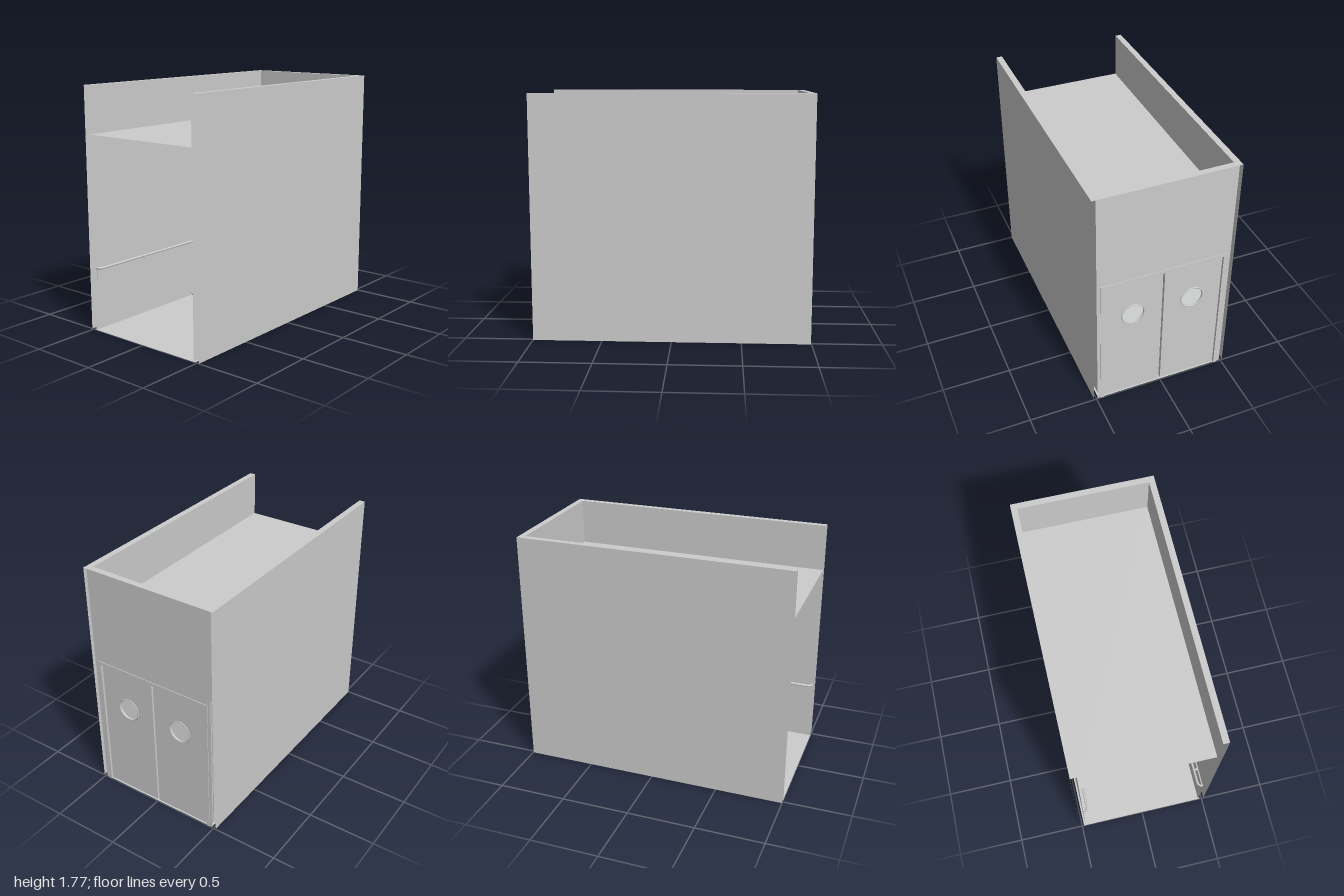
import * as THREE from 'three';

const H = 1.77, OUT = 0.517, INN = 0.472, BACK = -0.995, BACK_IN = -0.95, CEIL = 1.43;

export function createModel() {
  const model = new THREE.Group();
  model.name = 'corridor';
  const grey = new THREE.MeshStandardMaterial({ color: 0xcccccc, side: THREE.DoubleSide });
  grey.name = 'paintedGrey';
  const glass = new THREE.MeshStandardMaterial({ color: 0xe2e7e4 });
  glass.name = 'paleGlass';

  const add = (name, geo, x = 0, y = 0, z = 0, mat = grey, parent = model) => {
    const m = new THREE.Mesh(geo, mat);
    m.name = name;
    m.position.set(x, y, z);
    parent.add(m);
    return m;
  };
  const poly = (pts) => new THREE.Shape(pts.map(([x, y]) => new THREE.Vector2(x, y)));

  // Hollow side walls: outer and inner skins, open at the front and below
  for (const s of [-1, 1]) {
    const side = s < 0 ? 'right' : 'left';
    const outer = new THREE.PlaneGeometry(1 - BACK, H).rotateY(s * Math.PI / 2);
    add(side + 'OuterWall', outer, s * OUT, H / 2, (1 + BACK) / 2);
    const inner = new THREE.PlaneGeometry(1 - BACK_IN, H).rotateY(-s * Math.PI / 2);
    add(side + 'InnerWall', inner, s * INN, H / 2, (1 + BACK_IN) / 2);
  }

  // End wall skins with the doorway left open
  const endWall = (w) => new THREE.ShapeGeometry(poly([
    [-w, 0], [-0.46, 0], [-0.46, 1.055], [0.46, 1.055], [0.46, 0], [w, 0], [w, H], [-w, H]]));
  add('endWallInside', endWall(INN), 0, 0, BACK_IN);
  add('endWallOutside', endWall(0.49).rotateY(Math.PI), 0, 0, BACK);

  // U-shaped cap along the wall tops (shape y becomes -z)
  const cap = new THREE.ShapeGeometry(poly([
    [-OUT, -1], [-INN, -1], [-INN, -BACK_IN], [INN, -BACK_IN],
    [INN, -1], [OUT, -1], [OUT, -BACK], [-OUT, -BACK]]));
  add('wallCap', cap.rotateX(-Math.PI / 2), 0, H, 0);

  // Floor and ceiling sheets
  add('floor', new THREE.PlaneGeometry(0.97, 1 - BACK).rotateX(-Math.PI / 2), 0, 0.001, (1 + BACK) / 2);
  add('ceiling', new THREE.PlaneGeometry(2 * INN, 1 - BACK_IN).rotateX(-Math.PI / 2), 0, CEIL, (1 + BACK_IN) / 2);

  // Door frame, standing slightly proud of both wall faces
  const frame = poly([[-0.465, 0], [-0.44, 0], [-0.44, 1.035], [0.44, 1.035],
    [0.44, 0], [0.465, 0], [0.465, 1.06], [-0.465, 1.06]]);
  add('doorFrame', new THREE.ExtrudeGeometry(frame, { depth: 0.057, bevelEnabled: false }), 0, 0, -1);

  // Pair of doors with round portholes, a narrow gap between them
  for (const s of [-1, 1]) {
    const door = new THREE.Group();
    door.name = s < 0 ? 'rightDoor' : 'leftDoor';
    model.add(door);
    const leaf = poly([[s * 0.007, 0.004], [s * 0.438, 0.004], [s * 0.438, 1.032], [s * 0.007, 1.032]]);
    const hole = new THREE.Path();
    hole.absarc(s * 0.222, 0.73, 0.078, 0, Math.PI * 2, true);
    leaf.holes.push(hole);
    add('doorLeaf', new THREE.ExtrudeGeometry(leaf, { depth: 0.026, bevelEnabled: false, curveSegments: 32 }),
      0, 0, -0.985, grey, door);
    add('porthole', new THREE.CylinderGeometry(0.079, 0.079, 0.008, 40).rotateX(Math.PI / 2),
      s * 0.222, 0.73, -0.972, glass, door);
    for (const z of [-0.986, -0.958]) {
      add('portholeRim', new THREE.TorusGeometry(0.083, 0.005, 6, 40), s * 0.222, 0.73, z, grey, door);
    }
  }

  // Handrails returning to the wall at both ends, with a thin board below
  for (const s of [-1, 1]) {
    const rail = new THREE.Group();
    rail.name = s < 0 ? 'rightHandrail' : 'leftHandrail';
    model.add(rail);
    const path = new THREE.CatmullRomCurve3([
      [INN, 0.98], [0.45, 0.98], [0.438, 0.96], [0.436, 0.9],
      [0.436, -0.8], [0.438, -0.86], [0.45, -0.88], [INN, -0.88],
    ].map(([x, z]) => new THREE.Vector3(s * x, 0.465, z)), false, 'centripetal');
    add('rail', new THREE.TubeGeometry(path, 100, 0.009, 8), 0, 0, 0, grey, rail);
    add('railBoard', new THREE.BoxGeometry(0.008, 0.075, 1.86), s * 0.467, 0.422, 0.05, grey, rail);
    for (let i = 0; i < 5; i++) {
      add('railBracket', new THREE.BoxGeometry(0.032, 0.01, 0.014), s * 0.455, 0.455, 0.85 - i * 0.4, grey, rail);
    }
  }

  // Round clock on a square back plate, above the doors
  add('clockPlate', new THREE.BoxGeometry(0.145, 0.145, 0.012), 0, 1.223, BACK_IN + 0.006);
  add('clockFace', new THREE.CylinderGeometry(0.08, 0.08, 0.02, 40).rotateX(Math.PI / 2), 0, 1.223, BACK_IN + 0.012);

  // Shallow ceiling lamp
  add('ceilingLamp', new THREE.CylinderGeometry(0.15, 0.12, 0.008, 40), 0, CEIL - 0.005, 0);
  add('lampBowl', new THREE.CylinderGeometry(0.1, 0.03, 0.01, 40), 0, CEIL - 0.014, 0);

  return model;
}
